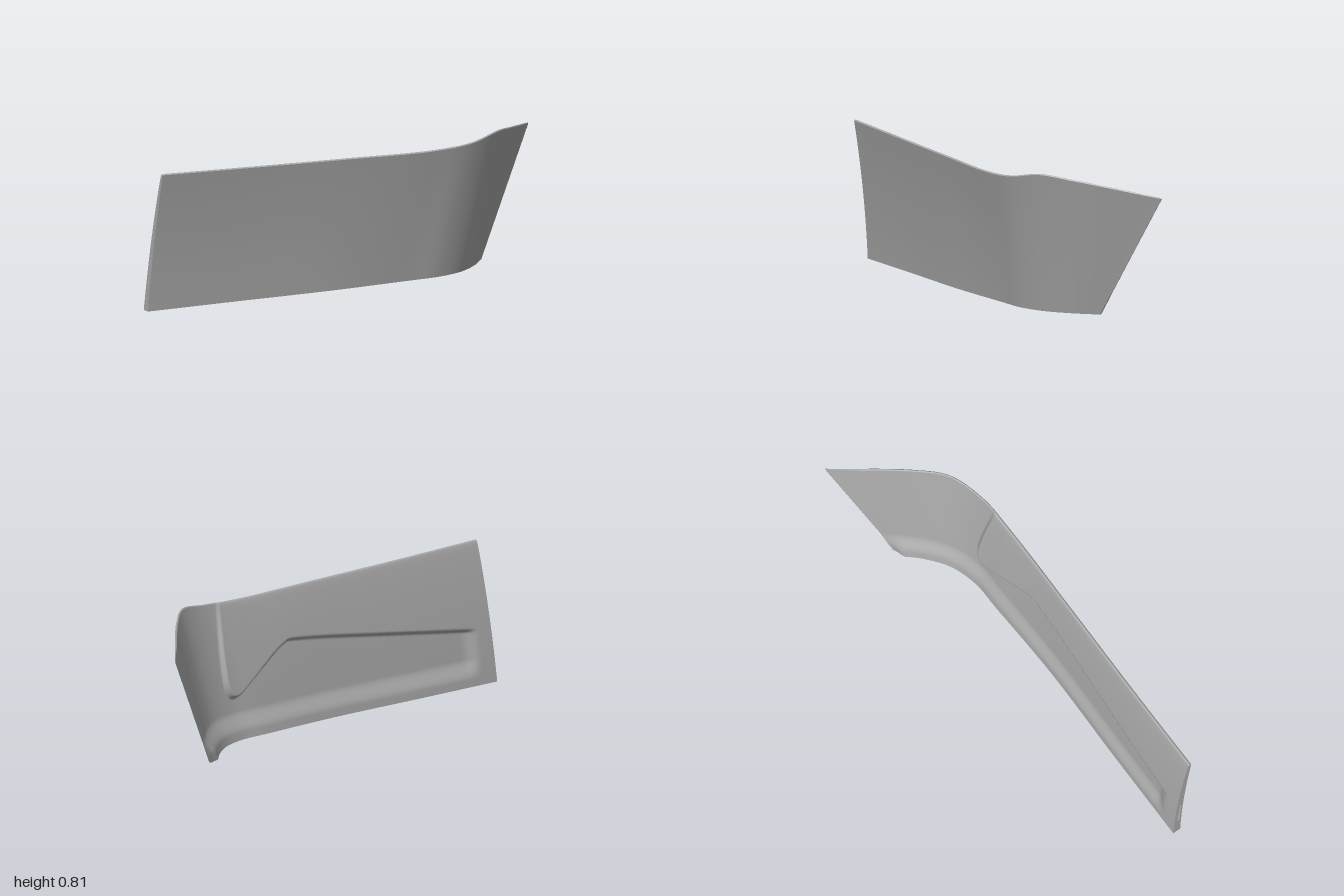
import * as THREE from 'three';

const V = (x, y, z) => new THREE.Vector3(x, y, z);
const curve = (pts) => new THREE.CatmullRomCurve3(pts.map((p) => V(...p)), false, 'centripetal');
const smooth = THREE.MathUtils.smoothstep;

// Outer edges of the bent panel: foot on the ground, crest leaning outward
const foot = curve([[-0.97, 0, 0.92], [-0.5, 0, 0.605], [0, 0, 0.275], [0.4, 0, -0.02],
  [0.56, 0, -0.14], [0.67, 0, -0.28], [0.73, 0, -0.45], [0.755, 0, -0.62]]);
const crest = curve([[-0.88, 0.795, 0.985], [-0.44, 0.78, 0.69], [0.1, 0.765, 0.335], [0.55, 0.755, 0.035],
  [0.75, 0.77, -0.12], [0.88, 0.803, -0.3], [0.93, 0.78, -0.5], [0.983, 0.7, -0.995]]);

// Wavy lower border of the thick pad on the inner face, as x, y
const padEdge = new THREE.SplineCurve([[-0.9, 0.3], [-0.3, 0.4], [0.18, 0.475], [0.29, 0.465], [0.45, 0.33],
  [0.56, 0.24], [0.62, 0.27], [0.65, 0.45], [0.67, 0.82]].map((p) => new THREE.Vector2(...p))).getPoints(60);

// Outer surface: u runs along the panel, v from foot to crest
function outer(u, v) {
  const p = foot.getPoint(u).lerp(crest.getPoint(u), v);
  const bow = 0.012 * 4 * v * (1 - v) * (1 - u);
  return p.add(V(-0.55 * bow, 0, -0.83 * bow));
}

// Signed distance to the pad border, positive inside the recess
function recessDistance(x, y) {
  let d = Infinity, border = x < 0 ? 0.3 : 9;
  for (let i = 0; i < padEdge.length - 1; i++) {
    const a = padEdge[i], b = padEdge[i + 1];
    const dx = b.x - a.x, dy = b.y - a.y;
    const t = THREE.MathUtils.clamp(((x - a.x) * dx + (y - a.y) * dy) / (dx * dx + dy * dy), 0, 1);
    d = Math.min(d, Math.hypot(x - a.x - t * dx, y - a.y - t * dy));
    if (x >= a.x && x < b.x) border = a.y + (dy * (x - a.x)) / dx;
  }
  return y < border ? d : -d;
}

// Wall thickness: thick foot ledge, sunken recess, thick pad, thin rear end
function thickness(u, v, p) {
  const full = 0.018 + 0.03 * Math.pow(1 - v, 0.6);
  const recess = smooth(p.y, 0.045, 0.15)
    * smooth(recessDistance(p.x, p.y), -0.008, 0.012)
    * smooth(u, 0.025, 0.05);
  const t = full + (0.012 - full) * recess;
  return t * (1 - 0.65 * smooth(u, 0.94, 1));
}

function inner(u, v) {
  const e = 0.004, p = outer(u, v);
  const u0 = Math.max(0, u - e), u1 = Math.min(1, u + e);
  const v0 = Math.max(0, v - e), v1 = Math.min(1, v + e);
  const n = outer(u1, v).sub(outer(u0, v)).cross(outer(u, v1).sub(outer(u, v0)));
  n.y = 0;
  return n.normalize().multiplyScalar(-thickness(u, v, p)).add(p);
}

// Surface patch from a point function of two parameters
function patch(fn, nu, nv, flip) {
  const pos = [], idx = [];
  for (let j = 0; j <= nv; j++)
    for (let i = 0; i <= nu; i++) pos.push(...fn(i / nu, j / nv).toArray());
  for (let j = 0; j < nv; j++)
    for (let i = 0; i < nu; i++) {
      const a = j * (nu + 1) + i, b = a + 1, c = a + nu + 1, d = c + 1;
      if (flip) idx.push(a, c, b, b, c, d);
      else idx.push(a, b, c, b, d, c);
    }
  const g = new THREE.BufferGeometry();
  g.setAttribute('position', new THREE.Float32BufferAttribute(pos, 3));
  g.setIndex(idx);
  g.computeVertexNormals();
  return g;
}

// Narrow rim joining outer and inner surfaces, rounded by a small bulge
const rim = (u, v, s, bulge) => outer(u, v).lerp(inner(u, v), s)
  .addScaledVector(bulge, Math.sin(Math.PI * s));

export function createModel() {
  const group = new THREE.Group();
  const grey = new THREE.MeshStandardMaterial({ color: 0xa6a6a6 });
  grey.name = 'plain grey';
  const add = (name, geometry) => {
    const mesh = new THREE.Mesh(geometry, grey);
    mesh.name = name;
    group.add(mesh);
    return mesh;
  };

  // Main faces
  add('outerSkin', patch(outer, 120, 24, false));
  add('innerSkin', patch(inner, 240, 100, true));

  // Rims around the four edges
  add('topRim', patch((u, s) => rim(u, 1, s, V(0, 0.006, 0)), 120, 6, false));
  add('bottomRim', patch((u, s) => rim(u, 0, s, V(0, 0, 0)), 240, 1, true));
  add('frontEndRim', patch((v, s) => rim(0, v, s, V(0, 0, 0)), 100, 1, false));
  add('rearEndRim', patch((v, s) => rim(1, v, s, V(0.001, 0, -0.004)), 100, 6, true));

  // Small tab on the front end
  const tab = add('endTab', new THREE.BoxGeometry(0.012, 0.18, 0.012));
  tab.position.set(-0.957, 0.23, 0.915);
  tab.rotation.set(0.07, 0, -0.135);

  return group;
}
